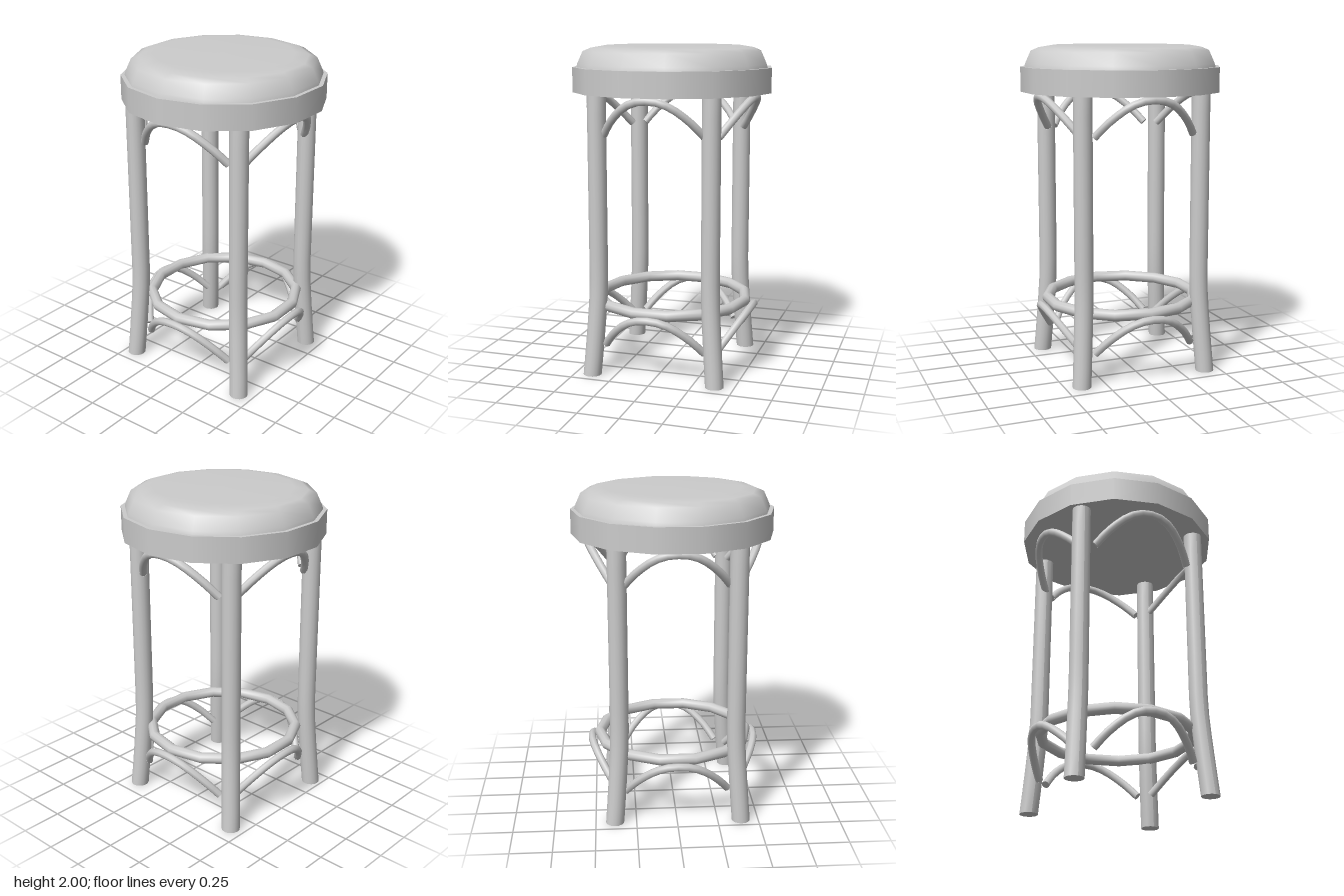
import * as THREE from 'three';

const material = new THREE.MeshStandardMaterial({ color: 0xcccccc, side: THREE.DoubleSide });
const SIDES = 14;

function add(parent, name, geometry) {
  const mesh = new THREE.Mesh(geometry, material);
  mesh.name = name;
  parent.add(mesh);
  return mesh;
}

// Upright post whose foot splays outwards below the foot ring
function legGeometry(x, z, splayX, splayZ) {
  const height = 1.73;
  const geometry = new THREE.CylinderGeometry(0.056, 0.056, height, 16, 14);
  geometry.translate(0, height / 2, 0);
  const p = geometry.attributes.position;
  for (let i = 0; i < p.count; i++) {
    const t = Math.pow(Math.max(0, 0.56 - p.getY(i)) / 0.56, 1.2);
    p.setX(i, p.getX(i) + x + splayX * t);
    p.setZ(i, p.getZ(i) + z + splayZ * t);
  }
  geometry.computeVertexNormals();
  return geometry;
}

// Bentwood arch that leans outwards, with closed ends
function addArch(parent, name, top, angle) {
  const half = [[0.31, -0.21], [0.245, -0.125], [0.14, -0.035], [0.055, -0.002]];
  const rise = ([x, y]) => new THREE.Vector3(x, top + y, 0.515 + y * 0.67);
  const points = [
    ...half.map(([x, y]) => rise([-x, y])),
    ...half.slice().reverse().map(rise),
  ];
  const curve = new THREE.CatmullRomCurve3(points);
  const radius = 0.024;
  const arch = new THREE.Group();
  arch.name = name;
  add(arch, 'archRod', new THREE.TubeGeometry(curve, 14, radius, 8));
  for (const t of [0, 1]) {
    const cap = add(arch, 'archEnd', new THREE.CircleGeometry(radius, 8));
    const end = curve.getPoint(t);
    cap.position.copy(end);
    cap.lookAt(end.clone().addScaledVector(curve.getTangent(t), t ? 1 : -1));
  }
  arch.rotation.y = angle;
  parent.add(arch);
}

export function createModel() {
  const stool = new THREE.Group();
  stool.name = 'stool';

  // Seat: rim band and padded cushion
  const rim = add(stool, 'seatRim', new THREE.CylinderGeometry(0.612, 0.612, 0.15, SIDES));
  rim.position.y = 1.795;
  const profile = [[0.588, 1.868], [0.582, 1.89], [0.548, 1.965], [0.5, 1.985], [0.42, 1.998], [0, 2]]
    .map(([r, y]) => new THREE.Vector2(r, y));
  add(stool, 'cushion', new THREE.LatheGeometry(profile, SIDES));

  // Legs: x, z of the post, then the splay of its foot
  const legs = {
    frontRightLeg: [-0.396, 0.357, -0.03, 0.037],
    backRightLeg: [-0.376, -0.345, -0.033, -0.037],
    frontLeftLeg: [0.37, 0.357, 0.035, 0.037],
    backLeftLeg: [0.37, -0.345, 0.03, -0.037],
  };
  for (const [name, values] of Object.entries(legs)) add(stool, name, legGeometry(...values));

  // Foot ring
  const ring = add(stool, 'footRing', new THREE.TorusGeometry(0.466, 0.034, 10, SIDES));
  ring.rotation.x = Math.PI / 2;
  ring.rotation.z = Math.PI / 2;
  ring.position.y = 0.43;

  // Arched braces under the seat and under the foot ring
  ['front', 'left', 'back', 'right'].forEach((side, i) => {
    addArch(stool, side + 'UpperArch', 1.695, i * Math.PI / 2);
    addArch(stool, side + 'LowerArch', 0.405, i * Math.PI / 2);
  });

  return stool;
}
